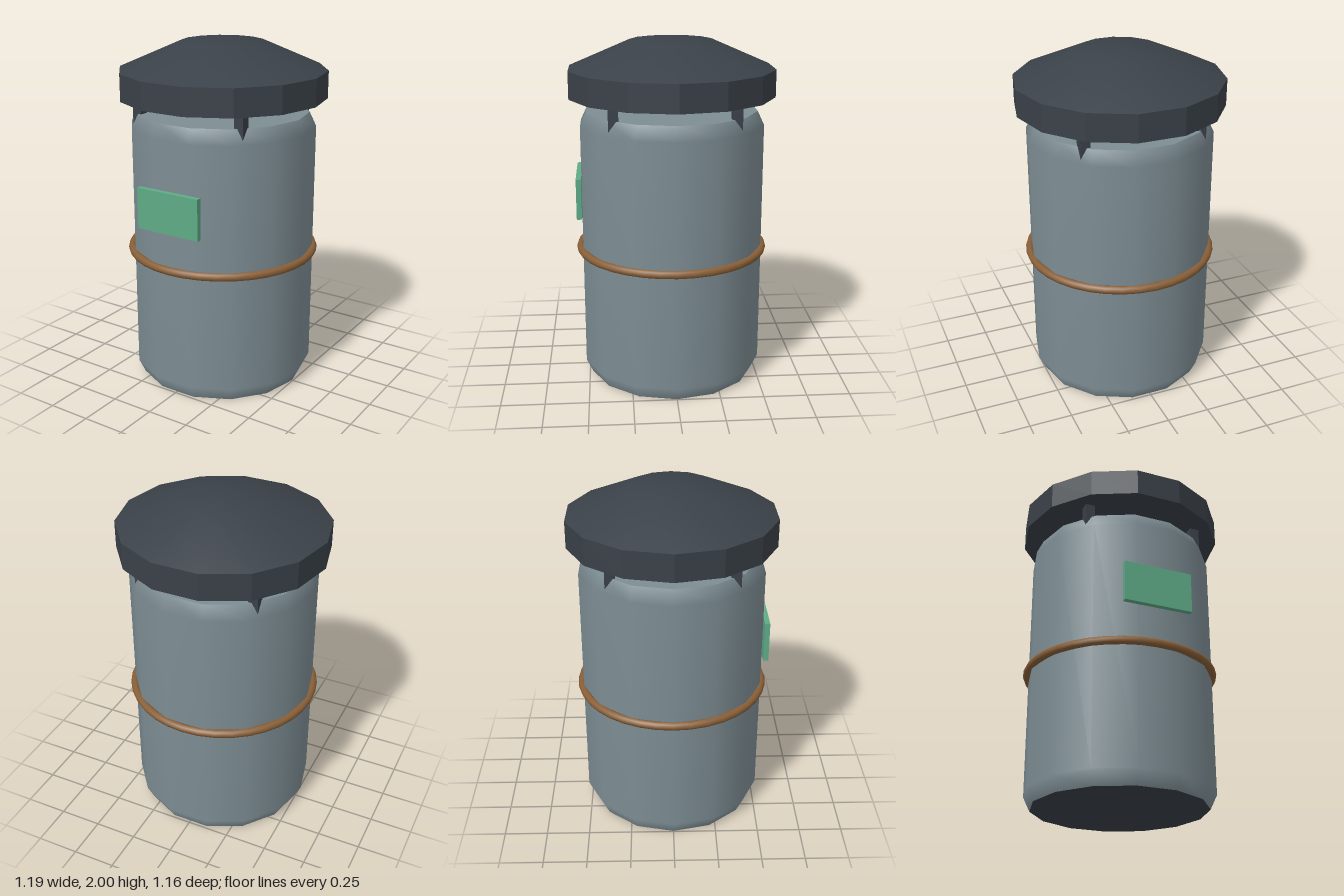
import * as THREE from 'three';
import { toCreasedNormals } from 'three/addons/utils/BufferGeometryUtils.js';

const SIDES = 14;

function material(name, color) {
  const m = new THREE.MeshStandardMaterial({ color });
  m.name = name;
  return m;
}

// 14-sided turned shape with a corner pointing along x
function turned(points) {
  const profile = points.map(([r, y]) => new THREE.Vector2(r, y));
  return new THREE.LatheGeometry(profile, SIDES).rotateY(Math.PI / 2);
}

export function createModel() {
  const model = new THREE.Group();
  model.name = 'canister';

  const grey = material('bodyGrey', 0x7d8d93);
  const dark = material('darkMetal', 0x3a4148);
  const brown = material('bandBrown', 0x8a6038);
  const green = material('plateGreen', 0x5fab87);

  function add(name, geometry, mat, x = 0, y = 0, z = 0) {
    const mesh = new THREE.Mesh(geometry, mat);
    mesh.name = name;
    mesh.position.set(x, y, z);
    model.add(mesh);
    return mesh;
  }

  // Smooth-sided body with chamfered ends
  add('body', turned([[0.495, 0], [0.533, 0.08], [0.533, 1.51], [0.495, 1.59]]), grey);

  // End discs closing the body
  const disc = () => new THREE.CircleGeometry(0.495, SIDES);
  add('bodyTop', disc().rotateX(-Math.PI / 2), grey, 0, 1.59);
  add('bodyBottom', disc().rotateX(Math.PI / 2), dark);

  // Faceted rain cap with a shallow domed top
  const cap = turned([[0, 1.67], [0.593, 1.67], [0.593, 1.825], [0.237, 1.98], [0, 2]]);
  add('cap', toCreasedNormals(cap, 0.44), dark);

  // Four posts holding the cap above the body
  for (const x of [-0.335, 0.335]) {
    for (const z of [-0.335, 0.335]) {
      add('capPost', new THREE.BoxGeometry(0.056, 0.19, 0.056), dark, x, 1.595, z);
    }
  }

  // Ring around the middle
  add('band', new THREE.TorusGeometry(0.536, 0.024, 8, 36).rotateX(Math.PI / 2), brown, 0, 0.776);

  // Plate on the front
  add('frontPlate', new THREE.BoxGeometry(0.4, 0.235, 0.03), green, 0, 1.113, 0.535);

  return model;
}
